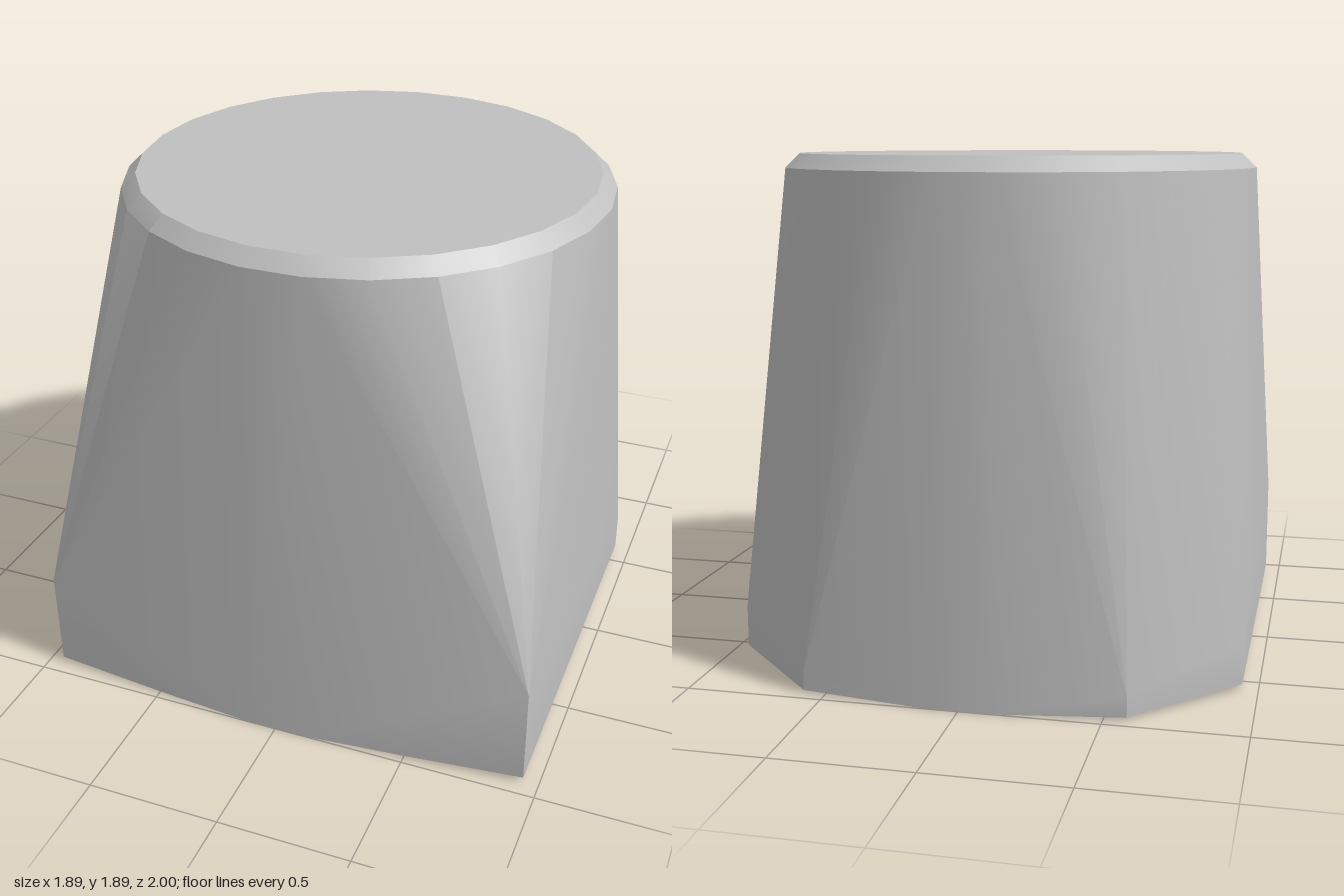
import * as THREE from 'three';
import { ConvexGeometry } from 'three/addons/geometries/ConvexGeometry.js';
import { toCreasedNormals } from 'three/addons/utils/BufferGeometryUtils.js';

const SIDES = 26;

// Regular ring of points; the offset leaves a flat edge at front and back
function ring(radius, y) {
  return Array.from({ length: SIDES }, (_, i) => {
    const a = (i / SIDES) * Math.PI * 2;
    return new THREE.Vector3(Math.cos(a) * radius, y, Math.sin(a) * radius);
  });
}

export function createModel() {
  const group = new THREE.Group();
  group.name = 'taperedBlock';
  const grey = new THREE.MeshStandardMaterial({ color: 0xbfbfbf });
  grey.name = 'grey';

  // Half of the base outline: x, z, height of the upright corner edge (0 = none)
  const outline = [
    [0.11, 1, 0], [0.5, 0.973, 0], [0.943, 0.94, 0.4],
    [0.943, -0.585, 0.18], [0.58, -0.95, 0.08], [0.11, -1, 0],
  ];

  // Slightly bowed underside, upright corners, then the round chamfered top
  const points = [...ring(0.908, 1.837), ...ring(0.853, 1.89)];
  for (const [x, z, top] of outline) {
    const y = 0.022 * Math.max(0, (x - 0.11) / 0.833) ** 1.4;
    for (const side of [1, -1]) {
      points.push(new THREE.Vector3(side * x, y, z));
      if (top) points.push(new THREE.Vector3(side * x, top, z));
    }
  }

  const body = new THREE.Mesh(toCreasedNormals(new ConvexGeometry(points), Math.PI / 6), grey);
  body.name = 'body';
  group.add(body);
  return group;
}
